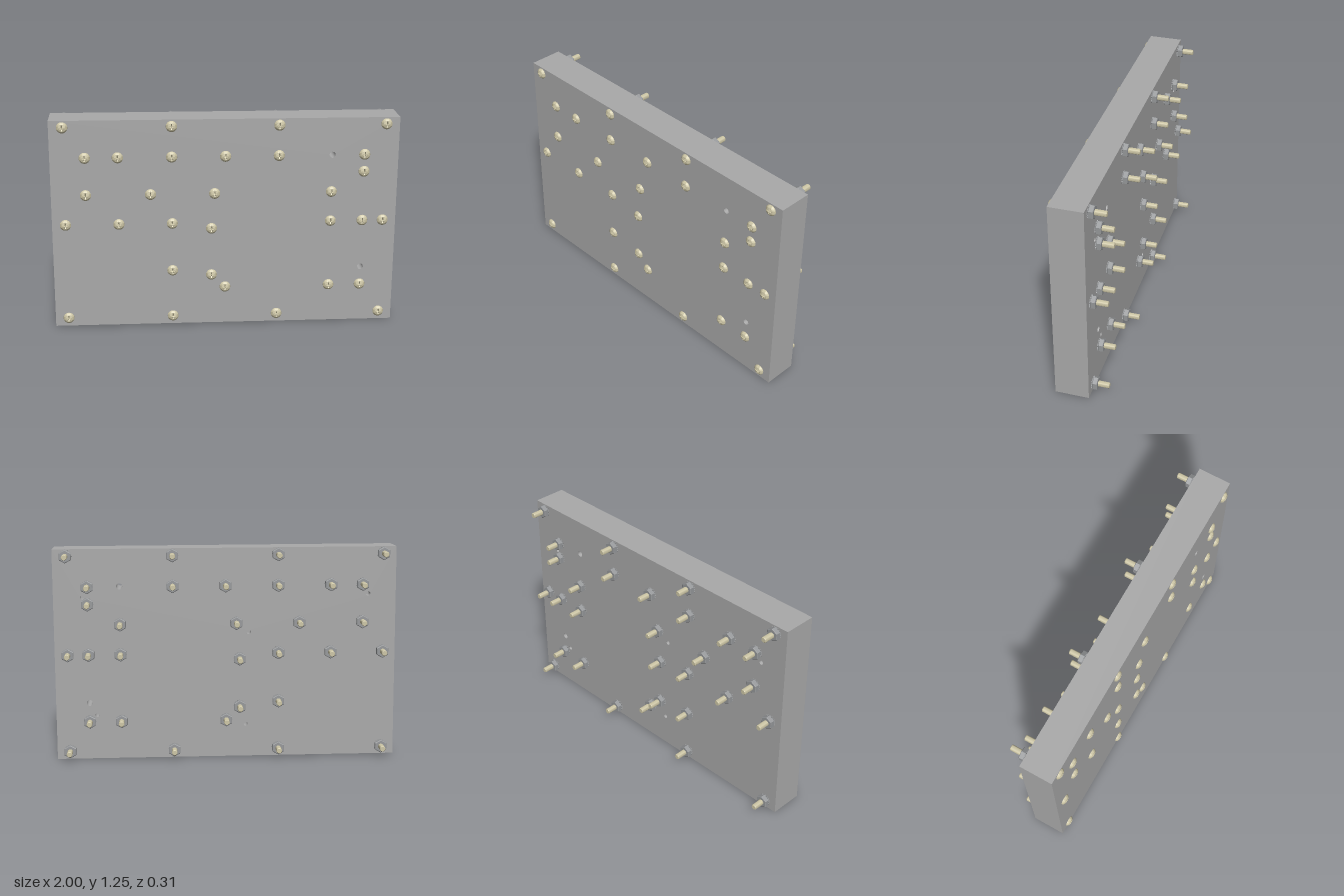
import * as THREE from 'three';
import { toCreasedNormals } from 'three/addons/utils/BufferGeometryUtils.js';

const W = 1.993, H = 1.239, FRONT = 0.137, BACK = -0.057, MID = 0.625;

// Screw centres: [row height, ...columns]
const SCREWS = [
  [1.205, -0.92, -0.307, 0.307, 0.92],
  [1.027, -0.8, -0.614, -0.307, 0, 0.307, 0.8],
  [0.926, 0.8],
  [0.807, -0.8, -0.43, -0.062, 0.614],
  [0.63, -0.92, -0.614, -0.307, 0.614, 0.8, 0.92],
  [0.596, -0.08],
  [0.341, -0.307],
  [0.31, -0.08],
  [0.232, 0, 0.614, 0.8],
  [0.055, -0.92, -0.307, 0.307, 0.92],
];
const THROUGH = [[0.614, 1.027], [0.8, 0.341]];
const BLIND = [[-0.134, 0.75], [-0.834, 0.97], [0.756, 0.268], [-0.114, 0.2], [0.828, 0.965]];
const THROUGH_R = 0.018, BLIND_R = 0.013, BLIND_DEPTH = 0.06;

const V = (x, y) => new THREE.Vector2(x, y);

function panel(holes, mirror) {
  const s = new THREE.Shape([V(-W / 2, -H / 2), V(W / 2, -H / 2), V(W / 2, H / 2), V(-W / 2, H / 2)]);
  for (const [x, y, r] of holes) {
    s.holes.push(new THREE.Path().absarc(x * mirror, y - MID, r, 0, Math.PI * 2, true));
  }
  return new THREE.ShapeGeometry(s, 12);
}

// Smooth turned part with sharp edges; height runs along +z (dir 1) or -z (dir -1)
function turned(points, segments, dir, crease = 0.6) {
  const g = new THREE.LatheGeometry(points.map((p) => V(...p)), segments);
  g.rotateX(dir * Math.PI / 2);
  return toCreasedNormals(g, crease);
}

const HEAD_R = 0.032, CAP_R = 0.021;
const dome = (r) => 0.0195 * Math.sqrt(Math.max(0, 1 - (r / HEAD_R) ** 2));

// Outline of the cross recess, anticlockwise
function crossOutline() {
  const a = 0.0035, l = 0.017, pts = [];
  for (let i = 0; i < 4; i++) {
    const c = V(0, 0);
    for (const p of [V(l, -a), V(l, a), V(a, a)]) pts.push(p.rotateAround(c, i * Math.PI / 2));
  }
  return pts;
}

// Domed cap with the cross cut out
function capGeometry() {
  const s = new THREE.Shape().absarc(0, 0, CAP_R, 0, Math.PI * 2, false);
  s.holes.push(new THREE.Path(crossOutline()));
  const g = new THREE.ShapeGeometry(s, 24);
  const p = g.attributes.position;
  for (let i = 0; i < p.count; i++) p.setZ(i, FRONT + dome(Math.hypot(p.getX(i), p.getY(i))));
  g.computeVertexNormals();
  return g;
}

// Recess sloping from the cross outline to a point at the centre
function recessGeometry() {
  const pts = crossOutline(), pos = [];
  pts.forEach((p, i) => {
    const q = pts[(i + 1) % pts.length];
    pos.push(p.x, p.y, FRONT + dome(p.length()), q.x, q.y, FRONT + dome(q.length()), 0, 0, FRONT + 0.004);
  });
  const g = new THREE.BufferGeometry();
  g.setAttribute('position', new THREE.Float32BufferAttribute(pos, 3));
  g.computeVertexNormals();
  return g;
}

// Toothed lock washer
function washerGeometry() {
  const pts = [], teeth = 16;
  for (let i = 0; i < teeth * 4; i++) {
    const r = i % 4 < 2 ? 0.036 : 0.03, t = (i / (teeth * 4)) * Math.PI * 2;
    pts.push(V(r * Math.cos(t), r * Math.sin(t)));
  }
  const g = new THREE.ExtrudeGeometry(new THREE.Shape(pts), { depth: 0.005, bevelEnabled: false });
  return g.translate(0, 0, BACK - 0.0055);
}

export function createModel() {
  const plateGrey = new THREE.MeshStandardMaterial({ color: 0xa9a9a9, side: THREE.DoubleSide });
  plateGrey.name = 'plateGrey';
  const nutGrey = new THREE.MeshStandardMaterial({ color: 0x96989a });
  nutGrey.name = 'nutGrey';
  const screwTan = new THREE.MeshStandardMaterial({ color: 0xcdc6a6 });
  screwTan.name = 'screwTan';

  const model = new THREE.Group();
  model.name = 'boltedPlate';
  model.position.set(-0.001, MID, 0);
  model.rotation.z = -0.005;

  const add = (parent, name, geometry, material, x = 0, y = 0, z = 0) => {
    const m = new THREE.Mesh(geometry, material);
    m.name = name;
    m.position.set(x, y, z);
    parent.add(m);
    return m;
  };

  // Plate: front and back panels with holes, plus the four edges
  const plate = new THREE.Group();
  plate.name = 'plate';
  model.add(plate);
  const through = THROUGH.map(([x, y]) => [x, y, THROUGH_R]);
  const blind = BLIND.map(([x, y]) => [x, y, BLIND_R]);
  add(plate, 'plateFront', panel(through, 1), plateGrey, 0, 0, FRONT);
  add(plate, 'plateBack', panel([...through, ...blind], -1).rotateY(Math.PI), plateGrey, 0, 0, BACK);
  const depth = FRONT - BACK;
  const edges = new THREE.BoxGeometry(W, H, depth);
  edges.setIndex([...edges.index.array.slice(0, 24)]); // keep the four side faces
  add(plate, 'plateEdges', edges, plateGrey, 0, 0, (FRONT + BACK) / 2);

  // Hole walls and blind hole floors
  const bore = (r, d) => new THREE.CylinderGeometry(r, r, d, 24, 1, true).rotateX(Math.PI / 2);
  const throughBore = bore(THROUGH_R, depth), blindBore = bore(BLIND_R, BLIND_DEPTH);
  const floor = new THREE.CircleGeometry(BLIND_R, 24).rotateY(Math.PI);
  for (const [x, y] of THROUGH) add(plate, 'throughHole', throughBore, plateGrey, x, y - MID, (FRONT + BACK) / 2);
  for (const [x, y] of BLIND) {
    add(plate, 'blindHole', blindBore, plateGrey, x, y - MID, BACK + BLIND_DEPTH / 2);
    add(plate, 'blindHoleFloor', floor, plateGrey, x, y - MID, BACK + BLIND_DEPTH);
  }

  // Screw, nut and washer shapes shared by every fastener
  const rim = [[HEAD_R, FRONT]];
  for (const r of [0.0318, 0.031, 0.029, 0.0255, CAP_R]) rim.push([r, FRONT + dome(r)]);
  const rimGeo = turned(rim, 48, 1, 1);
  const capGeo = capGeometry();
  const recessGeo = recessGeometry();
  const shaftGeo = turned([[0.0165, -0.13], [0.0165, 0.151], [0.0135, 0.155], [0, 0.155]], 24, -1);
  const nutGeo = turned(
    [[0.016, 0.0625], [0.036, 0.0625], [0.039, 0.065], [0.039, 0.0875], [0.035, 0.0905], [0.016, 0.0905]], 6, -1, 0.1);
  const washerGeo = washerGeometry();

  for (const [y, ...columns] of SCREWS) {
    for (const x of columns) {
      const fastener = new THREE.Group();
      fastener.name = 'fastener';
      fastener.position.set(x, y - MID, 0);
      add(fastener, 'screwHeadRim', rimGeo, screwTan);
      add(fastener, 'screwHeadCap', capGeo, screwTan);
      add(fastener, 'screwCrossRecess', recessGeo, screwTan);
      add(fastener, 'screwShaft', shaftGeo, screwTan);
      add(fastener, 'hexNut', nutGeo, nutGrey);
      add(fastener, 'lockWasher', washerGeo, nutGrey);
      model.add(fastener);
    }
  }

  const root = new THREE.Group();
  root.name = 'model';
  root.add(model);
  return root;
}
